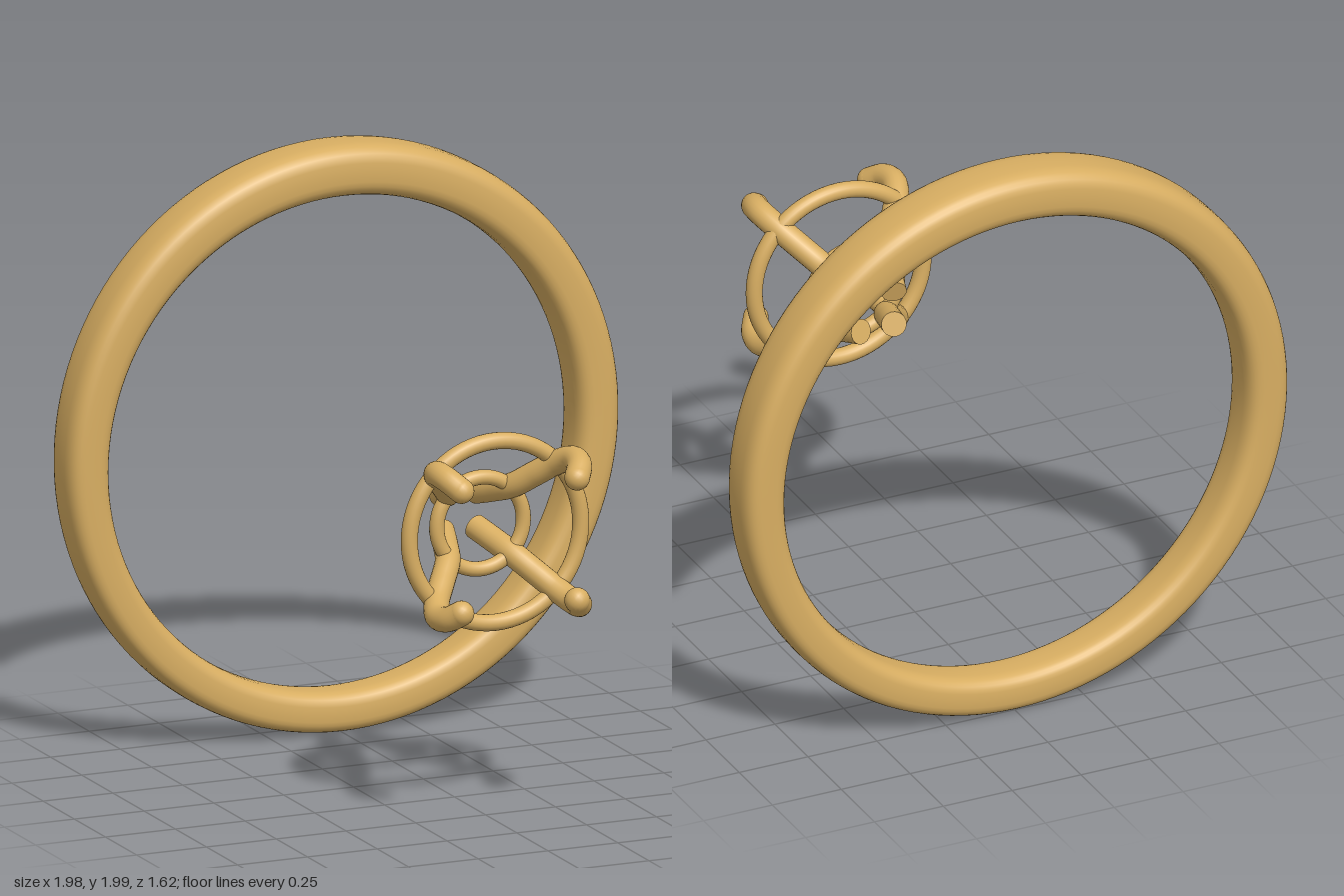
import * as THREE from 'three';
import { mergeVertices } from 'three/addons/utils/BufferGeometryUtils.js';

const CENTER_Y = 0.985;

// Band with a rounded-rectangle section that grows thicker and wider to the top
function bandGeometry() {
  const geo = new THREE.TorusGeometry(1, 0.5, 32, 128);
  geo.deleteAttribute('uv');
  geo.deleteAttribute('normal');
  const p = geo.attributes.position;
  const soften = (c) => Math.sign(c) * Math.pow(Math.abs(c), 2 / 3.2);
  for (let i = 0; i < p.count; i++) {
    const x = p.getX(i), y = p.getY(i), r = Math.hypot(x, y);
    const c = x / r, s = y / r;
    const thick = 0.152 + 0.019 * s + 0.007 * s * s;
    const width = 0.195 + 0.025 * s;
    const radius = 0.837 + (thick / 2) * (1 + soften((r - 1) / 0.5));
    p.setXYZ(i, radius * c, radius * s, (width / 2) * soften(p.getZ(i) / 0.5));
  }
  const merged = mergeVertices(geo, 1e-4);
  merged.computeVertexNormals();
  return merged;
}

export function createModel() {
  const group = new THREE.Group();
  const gold = new THREE.MeshStandardMaterial({ color: 0xd8ae62 });
  gold.name = 'gold';

  const add = (name, geometry, parent, x, y, z) => {
    const mesh = new THREE.Mesh(geometry, gold);
    mesh.name = name;
    mesh.position.set(x, y, z);
    parent.add(mesh);
    return mesh;
  };

  add('band', bandGeometry(), group, 0, CENTER_Y, -0.7);

  // Setting: two gallery rings held by four prongs
  const setting = new THREE.Group();
  setting.name = 'setting';
  setting.position.y = CENTER_Y;
  group.add(setting);
  add('upperGalleryRing', new THREE.TorusGeometry(0.307, 0.028, 20, 72), setting, 0, 0, 0.575);
  add('lowerGalleryRing', new THREE.TorusGeometry(0.155, 0.025, 20, 56), setting, 0, 0, 0.455);

  // Prong centre line: [offset along x and y, z]
  const profile = [
    [0.06, 0.283], [0.086, 0.37], [0.116, 0.455], [0.168, 0.525],
    [0.216, 0.59], [0.242, 0.66], [0.235, 0.725], [0.207, 0.77],
  ];
  const PRONG_R = 0.042;
  const path = new THREE.CatmullRomCurve3(
    profile.map(([d, z]) => new THREE.Vector3(d * Math.SQRT2, 0, z)));
  const tube = new THREE.TubeGeometry(path, 48, PRONG_R, 20, false);
  const tip = new THREE.SphereGeometry(PRONG_R, 20, 14);
  const cap = new THREE.CircleGeometry(PRONG_R, 20);
  const start = path.getPoint(0);
  const end = path.getPoint(1);
  const back = path.getTangent(0).negate();

  for (let i = 0; i < 4; i++) {
    const prong = new THREE.Group();
    prong.name = 'prong' + (i + 1);
    prong.rotation.z = Math.PI / 4 + (i * Math.PI) / 2;
    add('prongShaft', tube, prong, 0, 0, 0);
    add('prongTip', tip, prong, end.x, end.y, end.z);
    add('prongFoot', cap, prong, start.x, start.y, start.z)
      .quaternion.setFromUnitVectors(new THREE.Vector3(0, 0, 1), back);
    setting.add(prong);
  }

  return group;
}
